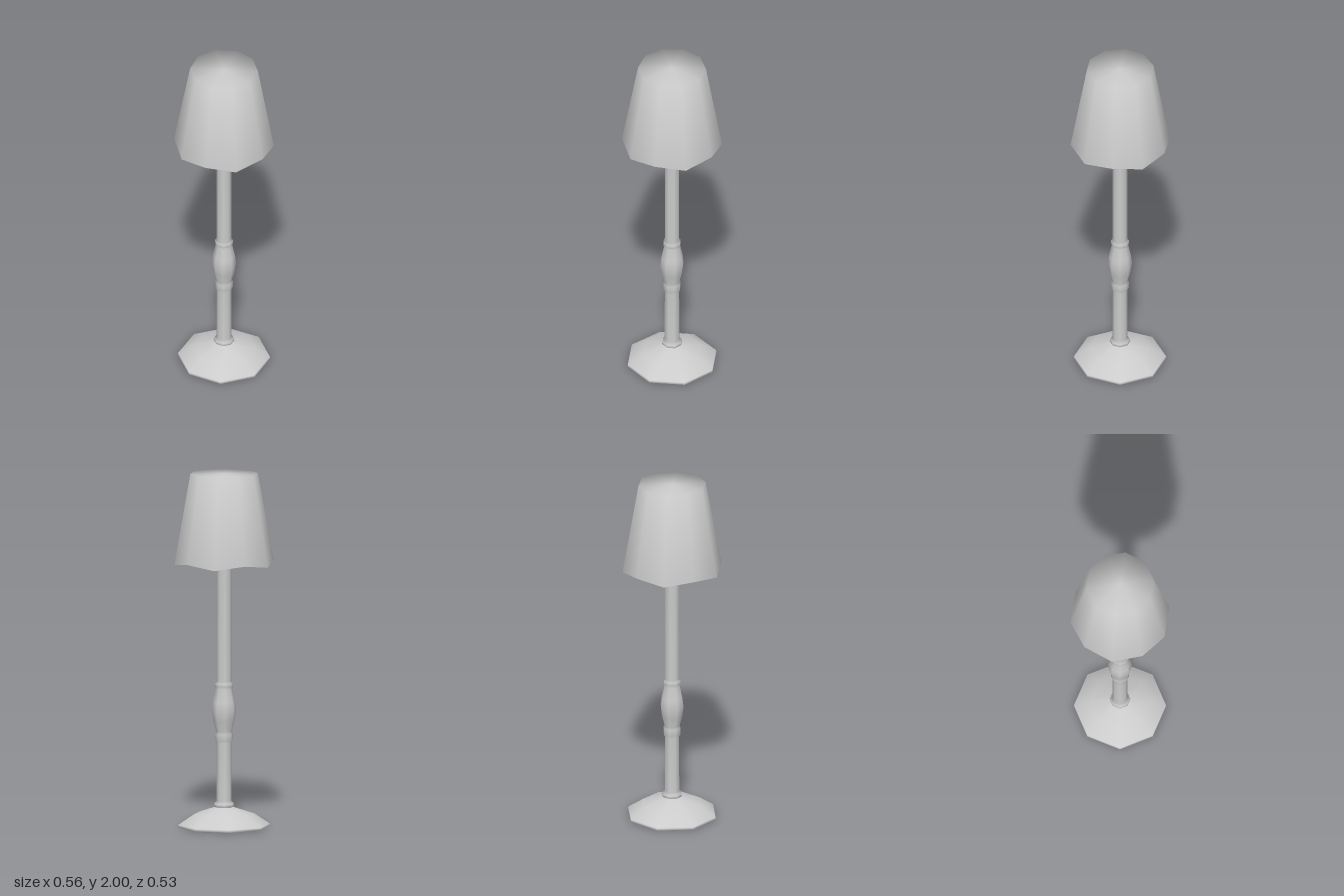
import * as THREE from 'three';

const material = new THREE.MeshStandardMaterial({ color: 0xcccccc, side: THREE.DoubleSide });

// Turned part from [radius, height] pairs, with its first corner on +x
function turned(name, profile, sides) {
  const points = profile.map(([r, y]) => new THREE.Vector2(r, y));
  const mesh = new THREE.Mesh(new THREE.LatheGeometry(points, sides, Math.PI / 2), material);
  mesh.name = name;
  return mesh;
}

export function createModel() {
  const lamp = new THREE.Group();
  lamp.name = 'floorLamp';

  // Eight-sided foot: hollow underside, thin rim, two sloping tiers
  lamp.add(turned('foot', [
    [0, 0.095], [0.05, 0.095], [0.165, 0.06], [0.24, 0.012], [0.25, 0],
    [0.26, 0.005], [0.257, 0.017], [0.17, 0.075], [0.05, 0.115],
  ], 8));

  // Pole: bottom collar, lower ring, vase-shaped swelling, upper ring, flared top
  lamp.add(turned('pole', [
    [0, 0.09], [0.045, 0.09], [0.05, 0.112], [0.058, 0.12], [0.056, 0.134], [0.043, 0.15],
    [0.042, 0.48], [0.049, 0.488], [0.05, 0.53], [0.044, 0.542],
    [0.06, 0.6], [0.068, 0.66], [0.062, 0.71], [0.046, 0.785],
    [0.051, 0.795], [0.05, 0.815], [0.042, 0.825],
    [0.042, 1.46], [0.048, 1.485], [0.062, 1.505], [0.09, 1.55],
  ], 8));

  // Ten-sided closed shade: recessed underside, lip, tapering wall, flat top
  const shade = turned('shade', [
    [0, 1.55], [0.235, 1.55], [0.25, 1.51], [0.28, 1.497], [0.19, 2], [0, 2],
  ], 10);
  // The lower edge rises and falls at alternate corners
  const pos = shade.geometry.attributes.position;
  const rows = 6;
  for (let i = 0; i < pos.count; i++) {
    const row = i % rows, corner = Math.floor(i / rows);
    if (row === 2 || row === 3) pos.setY(i, pos.getY(i) + (corner % 2 ? 0.011 : -0.012));
  }
  lamp.add(shade);

  return lamp;
}
